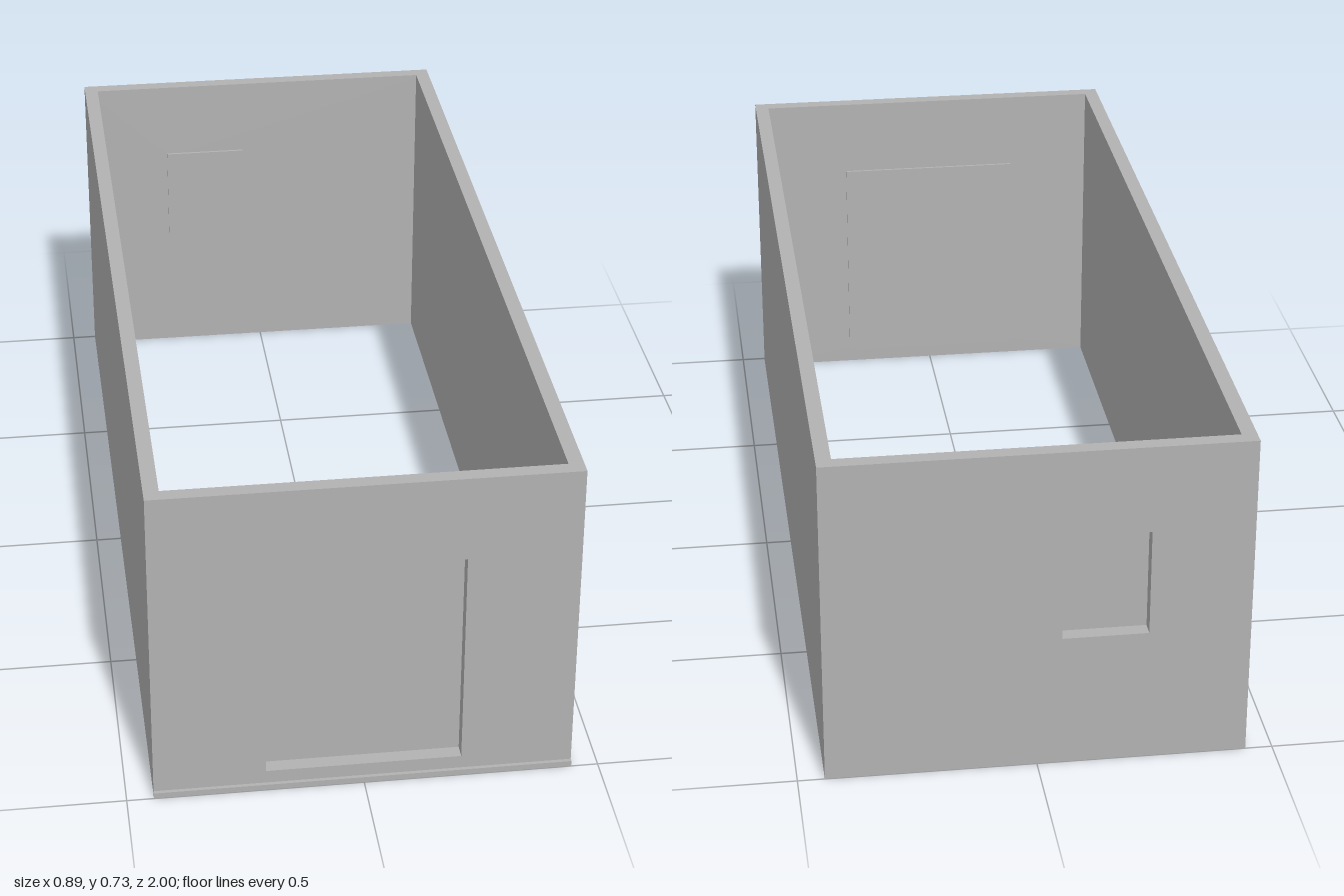
import * as THREE from 'three';

const W = 0.443;   // half width
const H = 0.73;    // wall height
const T = 0.032;   // wall thickness
const BACK = -1, FRONT = 0.992;

export function createModel() {
  const group = new THREE.Group();
  const grey = new THREE.MeshStandardMaterial({ color: 0xb2b2b2 });
  grey.name = 'plain grey';

  const add = (name, geometry, x = 0, y = 0, z = 0) => {
    const mesh = new THREE.Mesh(geometry, grey);
    mesh.name = name;
    mesh.position.set(x, y, z);
    group.add(mesh);
  };
  const box = (name, x0, x1, y0, y1, z0, z1) =>
    add(name, new THREE.BoxGeometry(x1 - x0, y1 - y0, z1 - z0),
      (x0 + x1) / 2, (y0 + y1) / 2, (z0 + z1) / 2);

  // End wall with one rectangular opening
  const endWall = (name, z, { x0, x1, y0, y1 }) => {
    const shape = new THREE.Shape();
    shape.moveTo(-W, 0).lineTo(W, 0).lineTo(W, H).lineTo(-W, H).closePath();
    const hole = new THREE.Path();
    hole.moveTo(x0, y0).lineTo(x0, y1).lineTo(x1, y1).lineTo(x1, y0).closePath();
    shape.holes.push(hole);
    add(name, new THREE.ExtrudeGeometry(shape, { depth: T, bevelEnabled: false }), 0, 0, z);
  };

  // Thin panel closing an opening from the inside, overlapping its rim
  const panel = (name, { x0, x1, y0, y1 }, z0) =>
    box(name, x0 - 0.008, x1 + 0.008, y0 - 0.008, y1 + 0.008, z0, z0 + 0.006);

  const door = { x0: -0.207, x1: 0.207, y0: 0.043, y1: 0.539 };
  const win = { x0: -0.23, x1: -0.05, y0: 0.3, y1: 0.537 };

  endWall('frontWall', FRONT - T, door);
  panel('doorPanel', door, FRONT - T - 0.006);
  endWall('backWall', BACK, win);
  panel('windowPanel', win, BACK + T);

  // Long side walls between the end walls
  box('rightWall', -W, -W + T, 0, H, BACK + T, FRONT - T);
  box('leftWall', W - T, W, 0, H, BACK + T, FRONT - T);

  // Low strip along the foot of the front wall
  box('frontSill', -W, W, 0, 0.013, FRONT, 1);

  return group;
}
